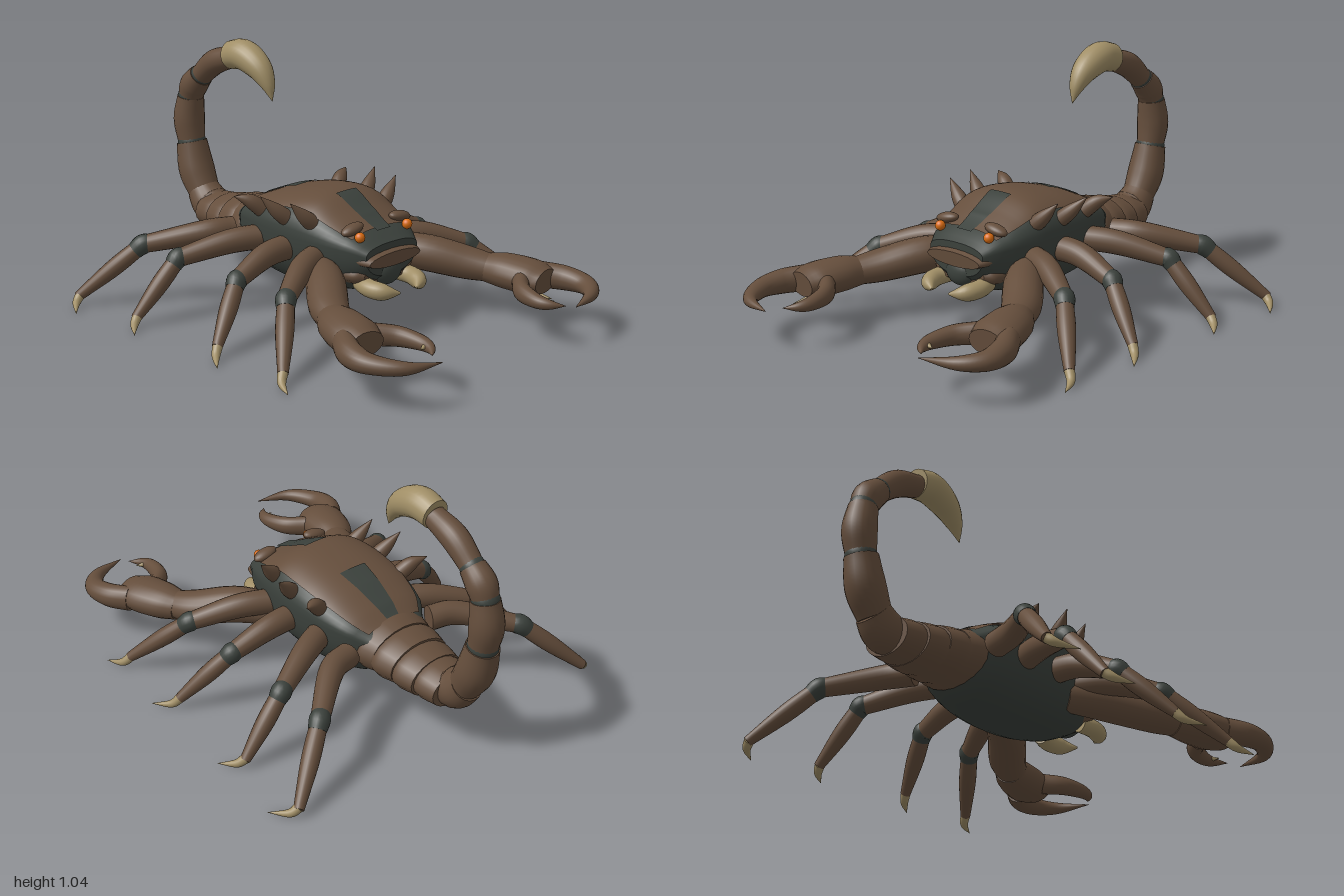
import * as THREE from 'three';

const mat = (name, color) => Object.assign(new THREE.MeshStandardMaterial({ color }), { name });
const V = (x, y, z) => new THREE.Vector3(x, y, z);
const Y = V(0, 1, 0), X = V(1, 0, 0);

// Surface through rows of points; closed rows wrap round
function grid(rows, closed) {
  const n = rows[0].length, pos = [], idx = [];
  rows.forEach(r => r.forEach(p => pos.push(p.x, p.y, p.z)));
  for (let i = 0; i < rows.length - 1; i++) {
    if (rows[i].every((p, j) => p.distanceTo(rows[i + 1][j]) < 1e-7)) continue; // sharp rim
    for (let j = 0; j < (closed ? n : n - 1); j++) {
      const k = (j + 1) % n, a = i * n + j, b = i * n + k, c = a + n, d = b + n;
      idx.push(a, b, c, b, d, c);
    }
  }
  const g = new THREE.BufferGeometry();
  g.setAttribute('position', new THREE.Float32BufferAttribute(pos, 3));
  g.setIndex(idx);
  g.computeVertexNormals();
  return g;
}

// Capped tube along points [x, y, z, radius, height radius]
function sweep(pts, ref = Y, steps = 16, sides = 20) {
  const path = new THREE.CatmullRomCurve3(pts.map(p => V(p[0], p[1], p[2])), false, 'catmullrom');
  const size = new THREE.CatmullRomCurve3(pts.map(p => V(p[3], p[4] ?? p[3], 0)), false, 'catmullrom');
  const rows = [];
  for (let i = 0; i <= steps; i++) {
    const c = path.getPoint(i / steps), s = size.getPoint(i / steps), t = path.getTangent(i / steps);
    const side = ref.clone().cross(t).normalize(), up = t.clone().cross(side);
    const row = [];
    for (let j = 0; j < sides; j++) {
      const a = j / sides * Math.PI * 2;
      row.push(c.clone().addScaledVector(side, Math.cos(a) * Math.max(s.x, 0.001))
        .addScaledVector(up, Math.sin(a) * Math.max(s.y, 0.001)));
    }
    if (i === 0) rows.push(row.map(() => c), row);
    rows.push(row);
    if (i === steps) rows.push(row, row.map(() => c));
  }
  return grid(rows, true);
}

// Body stations: z, half width, top, widest height, bottom
const STATIONS = [
  [-0.44, 0.14, 0.38, 0.33, 0.21], [-0.36, 0.195, 0.425, 0.36, 0.15], [-0.25, 0.228, 0.472, 0.37, 0.12],
  [-0.1, 0.243, 0.51, 0.37, 0.11], [0.06, 0.235, 0.517, 0.365, 0.12], [0.2, 0.205, 0.45, 0.36, 0.15],
  [0.29, 0.17, 0.405, 0.35, 0.19], [0.335, 0.14, 0.375, 0.335, 0.24]];
function station(z) {
  let i = 0;
  while (i < STATIONS.length - 2 && z > STATIONS[i + 1][0]) i++;
  const m = k => STATIONS[Math.min(Math.max(k, 0), STATIONS.length - 1)];
  const u = (z - m(i)[0]) / (m(i + 1)[0] - m(i)[0]);
  return m(i).map((v, k) => {
    const a = m(i - 1)[k], c = m(i + 1)[k], d = m(i + 2)[k];
    return v + 0.5 * u * (c - a + u * (2 * a - 5 * v + 4 * c - d + u * (3 * (v - c) + d - a)));
  });
}
function bodyPoint(z, a, off) {
  const [, hw, top, mid, bottom] = station(z);
  const c = Math.cos(a), s = Math.sin(a), e = 0.85;
  const h = s > 0 ? top - mid : mid - bottom;
  return V(Math.sign(c) * Math.abs(c) ** e * (hw + off), mid + Math.sign(s) * Math.abs(s) ** e * (h + off), z);
}
// Patch of body skin between z0 and z1, spanning half angles w0 to w1 about the top
function patch(z0, z1, w0, w1, off, closed = false) {
  const rows = [], nz = 28, na = 40;
  for (let i = 0; i <= nz; i++) {
    const z = z0 + (z1 - z0) * i / nz, w = w0 + (w1 - w0) * i / nz;
    rows.push(Array.from({ length: closed ? na : na + 1 }, (_, j) => bodyPoint(z, Math.PI / 2 - w + 2 * w * j / na, off)));
  }
  if (closed) {
    const centre = row => row.map(() => V(0, 0.3, row[0].z));
    const first = rows[0], last = rows[nz];
    rows.unshift(centre(first), first);
    rows.push(last, centre(last));
  }
  return grid(rows, closed);
}

export function createModel() {
  const brown = mat('brown shell', 0x654e3c), dark = mat('dark underside', 0x3b413c);
  const horn = mat('pale horn', 0xa08e66), orange = mat('orange eye', 0xd96c12);
  brown.side = dark.side = THREE.DoubleSide;
  const root = new THREE.Group();
  const add = (name, geo, material, parent = root) => {
    const m = new THREE.Mesh(geo, material);
    m.name = name;
    parent.add(m);
    return m;
  };
  const ball = (name, m, p, s, parent) => {
    const b = add(name, new THREE.SphereGeometry(1, 24, 16), m, parent);
    b.position.set(...p);
    b.scale.set(...s);
    return b;
  };

  // Body, back shell and the stripes down its middle
  add('body', patch(-0.44, 0.335, Math.PI, Math.PI, 0, true), dark);
  add('backShell', patch(-0.42, 0.27, 0.92, 0.92, 0.008), brown);
  add('rearStripe', patch(-0.41, -0.16, 0.13, 0.2, 0.012), dark);
  add('frontStripe', patch(0.07, 0.29, 0.17, 0.15, 0.012), dark);

  // Face
  add('facePlate', sweep([[0, 0.32, 0.2, 0.17, 0.045], [0, 0.315, 0.3, 0.16, 0.04], [0, 0.31, 0.355, 0.14, 0.03]]), brown);
  add('lowerFace', sweep([[0, 0.25, 0.2, 0.18, 0.07], [0, 0.25, 0.28, 0.165, 0.06], [0, 0.25, 0.315, 0.13, 0.045]]), brown);
  ball('mouth', dark, [0, 0.25, 0.31], [0.07, 0.058, 0.04]);

  // Abdomen rings, each narrower than the one before
  [[-0.37, -0.47, 0.172, 0.115, 0.29], [-0.45, -0.57, 0.16, 0.103, 0.28],
    [-0.55, -0.67, 0.142, 0.092, 0.268], [-0.65, -0.77, 0.118, 0.082, 0.262]].forEach(([a, b, w, h, y], i) =>
    add('abdomenRing' + (i + 1), sweep([[0, y, a, w * 0.95, h * 0.95], [0, y, a * 0.6 + b * 0.4, w, h],
      [0, y - 0.004, b, w * 0.9, h * 0.9]]), brown));

  // Tail segments: start, middle and end as z, y, with a radius
  [[-0.73, 0.262, -0.79, 0.275, -0.845, 0.325, 0.082], [-0.835, 0.315, -0.888, 0.41, -0.918, 0.53, 0.077],
    [-0.918, 0.53, -0.932, 0.63, -0.918, 0.735, 0.067], [-0.918, 0.735, -0.893, 0.79, -0.842, 0.84, 0.06],
    [-0.842, 0.84, -0.745, 0.915, -0.63, 0.955, 0.053]].forEach(([z0, y0, z1, y1, z2, y2, r], i) => {
    add('tailSegment' + (i + 1), sweep([[0, y0, z0, r * 0.88], [0, y1, z1, r * 1.02], [0, y2, z2, r * 0.87]], X), brown);
    if (i > 1) ball('tailJoint', dark, [0, y0, z0], [r * 0.93, r * 0.93, r * 0.93]);
  });
  add('stinger', sweep([[0, 0.965, -0.635, 0.06], [0, 0.977, -0.55, 0.065], [0, 0.94, -0.46, 0.055],
    [0, 0.88, -0.405, 0.033], [0, 0.81, -0.375, 0.001]], X, 24), horn);

  // Leg points: hip, thigh, knee, ankle, claw tip
  const LEGS = [
    [[0.18, 0.3, 0.1], [0.33, 0.295, 0.17], [0.5, 0.24, 0.27], [0.68, 0.045, 0.455], [0.735, 0.004, 0.545]],
    [[0.18, 0.31, -0.04], [0.33, 0.3, -0.04], [0.5, 0.24, -0.02], [0.69, 0.045, 0.085], [0.765, 0.004, 0.175]],
    [[0.18, 0.31, -0.2], [0.33, 0.3, -0.27], [0.52, 0.25, -0.365], [0.72, 0.035, -0.392], [0.79, 0.004, -0.31]],
    [[0.21, 0.3, -0.39], [0.33, 0.3, -0.435], [0.52, 0.25, -0.6], [0.745, 0.035, -0.755], [0.82, 0.004, -0.665]]];

  for (const s of [1, -1]) {
    const side = s > 0 ? 'left' : 'right';
    const at = (p, ...r) => [p[0] * s, p[1], p[2], ...r];

    LEGS.forEach(([hip, thigh, knee, ankle, tip], i) => {
      const leg = new THREE.Group();
      leg.name = side + 'Leg' + (i + 1);
      root.add(leg);
      const mix = (a, b, t) => a.map((v, k) => v + (b[k] - v) * t);
      add('thigh', sweep([at(hip, 0.052), at(thigh, 0.05), at(knee, 0.037)]), brown, leg);
      add('kneeJoint', sweep([at(mix(knee, thigh, 0.13), 0.036), at(knee, 0.042), at(mix(knee, ankle, 0.12), 0.036)], Y, 8), dark, leg);
      add('shin', sweep([at(knee, 0.034), at(mix(knee, ankle, 0.45), 0.036), at(ankle, 0.021)]), brown, leg);
      add('claw', sweep([at(mix(ankle, knee, 0.03), 0.021), at([ankle[0] + 0.025, 0.018, ankle[2] + 0.022], 0.016), at(tip, 0.001)]), horn, leg);
    });

    // Pincer arm with two curved fingers
    const arm = new THREE.Group();
    arm.name = side + 'Pincer';
    root.add(arm);
    const reach = s > 0 ? 0.955 : 0.99;
    add('upperArm', sweep([at([0.17, 0.25, 0.08], 0.06), at([0.27, 0.245, 0.24], 0.078, 0.075),
      at([0.38, 0.21, 0.38], 0.078, 0.068), at([0.435, 0.195, 0.48], 0.062, 0.055)]), brown, arm);
    add('palm', sweep([at([0.425, 0.195, 0.45], 0.065, 0.058), at([0.455, 0.195, 0.53], 0.09, 0.07),
      at([0.485, 0.19, 0.64], 0.1, 0.068), at([0.495, 0.185, 0.71], 0.075, 0.05)]), brown, arm);
    add('outerFinger', sweep([at([0.545, 0.185, 0.64], 0.045, 0.055), at([0.595, 0.18, 0.73], 0.048, 0.05),
      at([0.6, 0.175, 0.83], 0.043, 0.038), at([0.53, 0.172, reach - 0.045], 0.027, 0.025),
      at([0.39, 0.17, reach], 0.001)], Y, 28), brown, arm);
    add('innerFinger', sweep([at([0.41, 0.185, 0.65], 0.035, 0.045), at([0.345, 0.18, 0.72], 0.034, 0.04),
      at([0.32, 0.175, 0.81], 0.03, 0.03), at([0.33, 0.172, 0.87], 0.02, 0.02),
      at([0.37, 0.17, 0.92], 0.001)], Y, 28), brown, arm);
    add('fingerTooth', sweep([at([0.325, 0.175, 0.845], 0.016), at([0.37, 0.175, 0.86], 0.001)], Y, 6), horn, arm);

    // Spikes along the shell edge
    [[0.09, 0.06, 0.29], [-0.04, -0.09, 0.315], [-0.2, -0.26, 0.31]].forEach(([z0, z1, x], i) =>
      add(side + 'Spike' + (i + 1), sweep([at([x - 0.12, 0.41, z0], 0.034), at([x - 0.06, 0.465, (z0 + z1) / 2], 0.029),
        at([x, i < 2 ? 0.528 : 0.49, z1], 0.001)], Y, 10), brown));

    // Eye, brow and mouth fang
    ball(side + 'Eye', orange, [0.13 * s, 0.408, 0.288], [0.021, 0.021, 0.021]);
    ball(side + 'Brow', brown, [0.13 * s, 0.432, 0.245], [0.055, 0.022, 0.03]).rotation.z = -0.2 * s;
    add(side + 'Fang', sweep([at([0.1, 0.21, 0.26], 0.035), at([0.115, 0.205, 0.33], 0.038, 0.036),
      at([0.095, 0.2, 0.39], 0.033), at([0.045, 0.195, 0.43], 0.004)]), horn);
  }
  return root;
}
